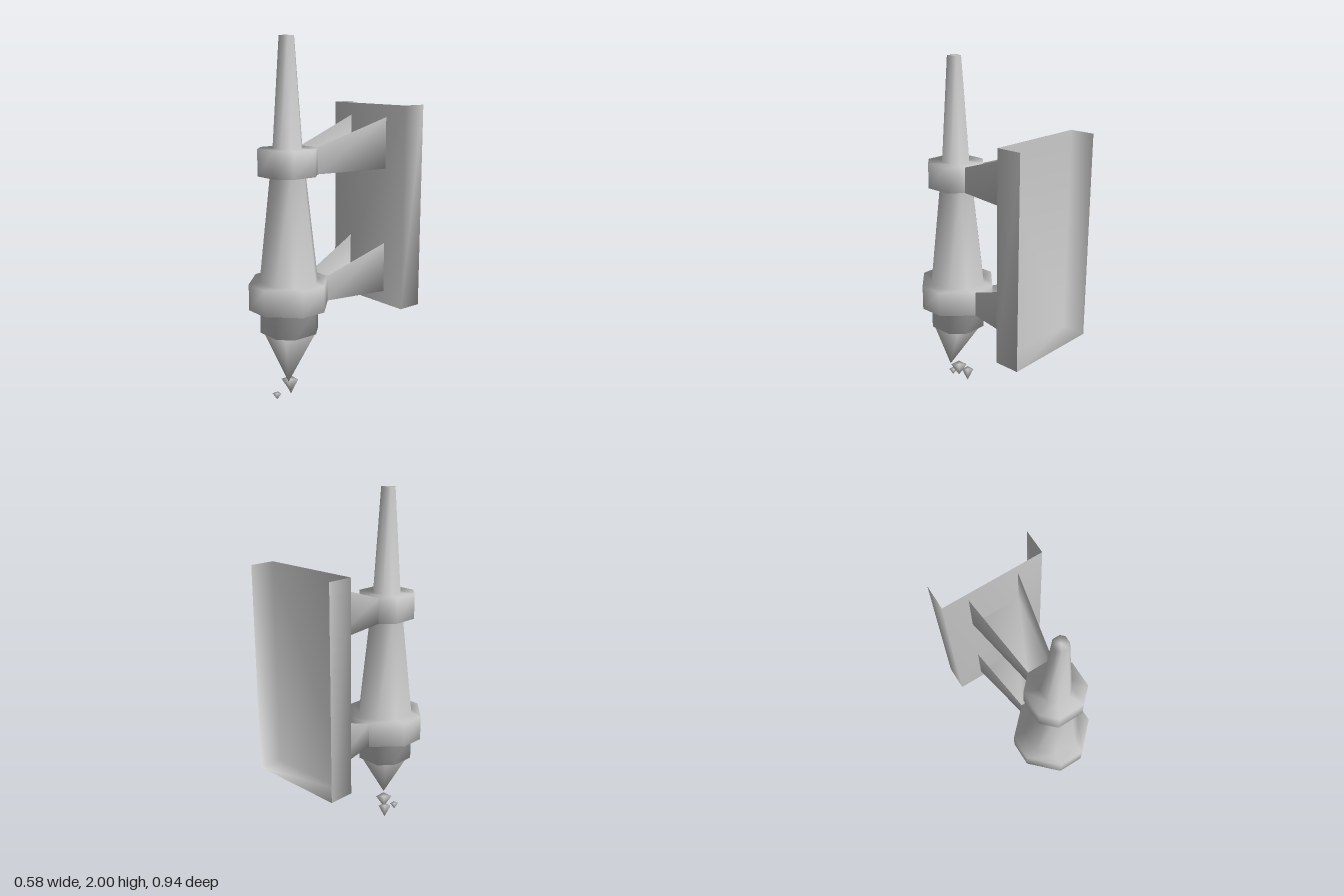
import * as THREE from 'three';
import { mergeVertices } from 'three/addons/utils/BufferGeometryUtils.js';

const AXIS_Z = 0.253;
const grey = new THREE.MeshStandardMaterial({ color: 0xcccccc });
const greyThin = new THREE.MeshStandardMaterial({ color: 0xcccccc, side: THREE.DoubleSide });

// Cross-sections as [x, z] corners, running from the front towards +x
const octagon = (r, f = r / 2) =>
  [[f, r], [r, f], [r, -f], [f, -r], [-f, -r], [-r, -f], [-r, f], [-f, r]];
const square = (r) => [[r, r], [r, -r], [-r, -r], [-r, r]];

function smoothGeometry(positions, index) {
  let geometry = new THREE.BufferGeometry();
  geometry.setAttribute('position', new THREE.Float32BufferAttribute(positions, 3));
  geometry.setIndex(index);
  geometry = mergeVertices(geometry, 1e-5);
  geometry.computeVertexNormals();
  return geometry;
}

// Skin a stack of sections, listed from bottom to top
function loft(sections) {
  const positions = [], index = [], n = sections[0].ring.length;
  for (const { y, ring, cx = 0, cz = AXIS_Z } of sections)
    for (const [x, z] of ring) positions.push(cx + x, y, cz + z);
  for (let s = 0; s < sections.length - 1; s++) {
    for (let i = 0; i < n; i++) {
      const a = s * n + i, b = s * n + (i + 1) % n;
      index.push(a, b, b + n, a, b + n, a + n);
    }
  }
  return smoothGeometry(positions, index);
}

// Inverted square pyramid with a movable tip
function spike(half, top, tipY, cx, cz, tipX = cx, tipZ = cz) {
  return loft([
    { y: tipY, ring: square(0), cx: tipX, cz: tipZ },
    { y: top, ring: square(half), cx, cz },
    { y: top, ring: square(0), cx, cz },
  ]);
}

// Thin open channel: two sides and a floor, with an optional front wall
function channel(front, back, hasFront) {
  const positions = [];
  for (const { w, y0, y1, z } of [front, back])
    positions.push(-w, y0, z, w, y0, z, w, y1, z, -w, y1, z);
  const quads = [[1, 5, 6, 2], [4, 0, 3, 7], [0, 4, 5, 1]];
  if (hasFront) quads.push([0, 1, 2, 3]);
  return smoothGeometry(positions, quads.flatMap(([a, b, c, d]) => [a, b, c, a, c, d]));
}

export function createModel() {
  const model = new THREE.Group();
  model.name = 'wallMountedSpire';
  const add = (name, geometry, material = grey) => {
    const mesh = new THREE.Mesh(geometry, material);
    mesh.name = name;
    model.add(mesh);
  };

  // Tapering octagonal shaft with its two collars, one continuous skin
  const profile = [
    [0.405, 0], [0.405, 0.145], [0.55, 0.145],
    [0.55, 0.217, 0.072], [0.695, 0.217, 0.072], [0.695, 0.145],
    [1.275, 0.087], [1.275, 0.145], [1.42, 0.145], [1.42, 0.072],
    [2, 0.036], [2, 0],
  ];
  add('shaftAndCollars', loft(profile.map(([y, r, f]) => ({ y, ring: octagon(r, f) }))));

  // Off-centre point under the shaft
  add('lowerPoint', spike(0.108, 0.405, 0.12, 0, AXIS_Z, 0.036, 0.29));

  // Falling drips: half width, top, tip, x, z
  const drips = [
    [0.034, 0.112, 0.04, 0, 0.253],
    [0.026, 0.075, 0, -0.04, 0.217],
    [0.018, 0.04, 0.004, -0.022, 0.328],
  ];
  drips.forEach(([half, top, tip, x, z], i) => add(`drip${i + 1}`, spike(half, top, tip, x, z)));

  // Flaring brackets from each collar to the wall plate
  const brackets = [['lowerBracket', 0.55, 0.695, 0.036], ['upperBracket', 1.275, 1.42, 0.108]];
  for (const [name, y0, y1, z] of brackets) {
    add(name, channel(
      { w: 0.072, y0, y1, z },
      { w: 0.145, y0, y1: y1 + 0.145, z: -0.33 }, false), greyThin);
  }

  // Wall plate, a shallow tray open at the back and top
  const plate = { w: 0.29, y0: 0.475, y1: 1.635 };
  add('wallPlate', channel({ ...plate, z: -0.33 }, { ...plate, z: -0.473 }, true), greyThin);

  return model;
}
